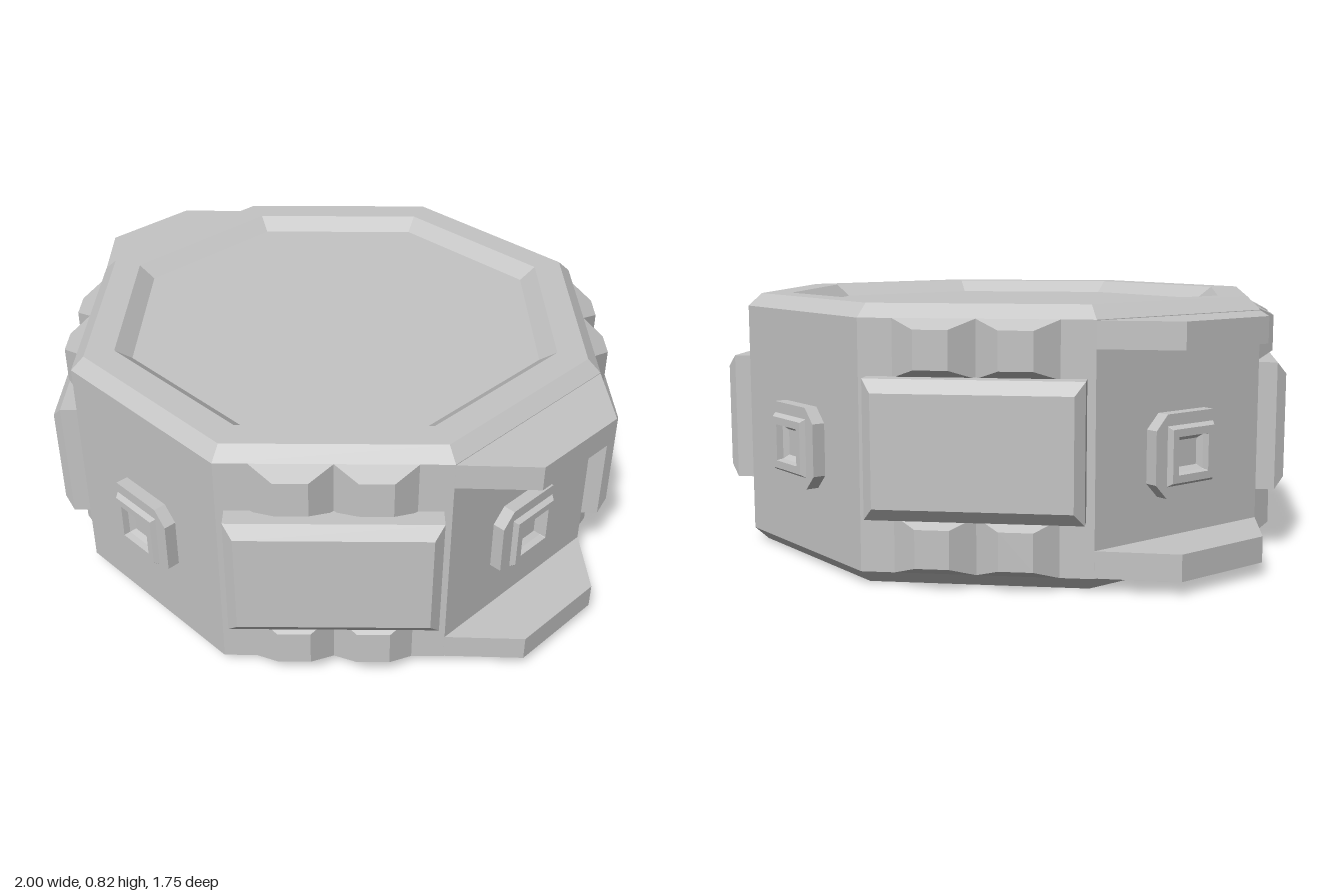
import * as THREE from 'three';

const steel = new THREE.MeshStandardMaterial({ color: 0xc4c4c4 });
steel.name = 'grey steel';

// Ring of a regular octagon with the given apothem, at depth z
function octagon(apothem, z) {
  const r = apothem / Math.cos(Math.PI / 8);
  return Array.from({ length: 8 }, (_, i) => {
    const a = Math.PI / 8 + (i * Math.PI) / 4;
    return [r * Math.cos(a), r * Math.sin(a), z];
  });
}

// Ring of a rectangle (half sizes w, h) with corners cut by c, at depth z
function rect(w, h, z, c = 0) {
  if (!c) return [[w, -h, z], [w, h, z], [-w, h, z], [-w, -h, z]];
  return [
    [w - c, -h, z], [w, -h + c, z], [w, h - c, z], [w - c, h, z],
    [-w + c, h, z], [-w, h - c, z], [-w, -h + c, z], [-w + c, -h, z],
  ];
}

// Flat-faced skin over convex rings along +z, closed at both ends
function loft(rings) {
  const out = [];
  const tri = (a, b, c) => out.push(...a, ...b, ...c);
  const n = rings[0].length;
  const last = rings[rings.length - 1];
  for (let k = 0; k < rings.length - 1; k++) {
    for (let i = 0; i < n; i++) {
      const j = (i + 1) % n;
      tri(rings[k][i], rings[k][j], rings[k + 1][j]);
      tri(rings[k][i], rings[k + 1][j], rings[k + 1][i]);
    }
  }
  for (let i = 1; i < n - 1; i++) {
    tri(rings[0][0], rings[0][i + 1], rings[0][i]);
    tri(last[0], last[i], last[i + 1]);
  }
  const g = new THREE.BufferGeometry();
  g.setAttribute('position', new THREE.Float32BufferAttribute(out, 3));
  g.computeVertexNormals();
  return g;
}

function add(parent, name, geometry, x = 0, y = 0, z = 0) {
  const mesh = new THREE.Mesh(geometry, steel);
  mesh.name = name;
  mesh.position.set(x, y, z);
  parent.add(mesh);
  return mesh;
}

export function createModel() {
  const model = new THREE.Group();
  model.name = 'octagonalHub';

  // Bevelled octagonal body with a shallow recess in its top
  const body = loft([
    octagon(0.78, 0), octagon(0.82, 0.04), octagon(0.82, 0.78),
    octagon(0.78, 0.82), octagon(0.69, 0.82), octagon(0.64, 0.78),
  ]);
  body.rotateX(-Math.PI / 2);
  add(model, 'body', body);

  // Square socket on a cut-corner plate
  const socket = loft([
    rect(0.14, 0.125, 0.8, 0.045), rect(0.14, 0.125, 0.86, 0.045),
    rect(0.095, 0.09, 0.86, 0.001), rect(0.085, 0.08, 0.875, 0.001),
    rect(0.062, 0.057, 0.875, 0.001), rect(0.058, 0.053, 0.855, 0.001),
    rect(0.045, 0.04, 0.84, 0.001),
  ]);
  const armour = loft([
    rect(0.315, 0.203, 0.79), rect(0.315, 0.203, 0.88), rect(0.286, 0.165, 0.91),
  ]);
  const lump = loft([rect(0.12, 0.085, 0.82), rect(0.05, 0.057, 0.875)]);

  for (let i = 0; i < 4; i++) {
    // Straight sides carry a socket
    const side = new THREE.Group();
    side.name = 'socketSide';
    side.rotation.y = (i * Math.PI) / 2;
    add(side, 'socket', socket, 0, 0.372, 0);
    model.add(side);

    // Diagonal sides carry an armour plate over two rows of lumps
    const corner = new THREE.Group();
    corner.name = 'armouredSide';
    corner.rotation.y = Math.PI / 4 + (i * Math.PI) / 2;
    add(corner, 'armourPlate', armour, 0, 0.411, 0);
    for (const x of [-0.12, 0.12]) {
      for (const y of [0.125, 0.695]) add(corner, 'lump', lump, x, y, 0);
    }
    model.add(corner);
  }

  // Tapered flanges, one pair on the left and one on the right
  const outline = new THREE.Shape([
    new THREE.Vector2(0.8, -0.34), new THREE.Vector2(0.82, -0.34),
    new THREE.Vector2(1, -0.17), new THREE.Vector2(1, 0.17),
    new THREE.Vector2(0.82, 0.34), new THREE.Vector2(0.8, 0.34),
  ]);
  const flange = new THREE.ExtrudeGeometry(outline, { depth: 0.08, bevelEnabled: false });
  flange.rotateX(-Math.PI / 2);
  for (const turn of [0, Math.PI]) {
    for (const y of [0.042, 0.698]) {
      add(model, 'flange', flange, 0, y, 0).rotation.y = turn;
    }
  }
  return model;
}
